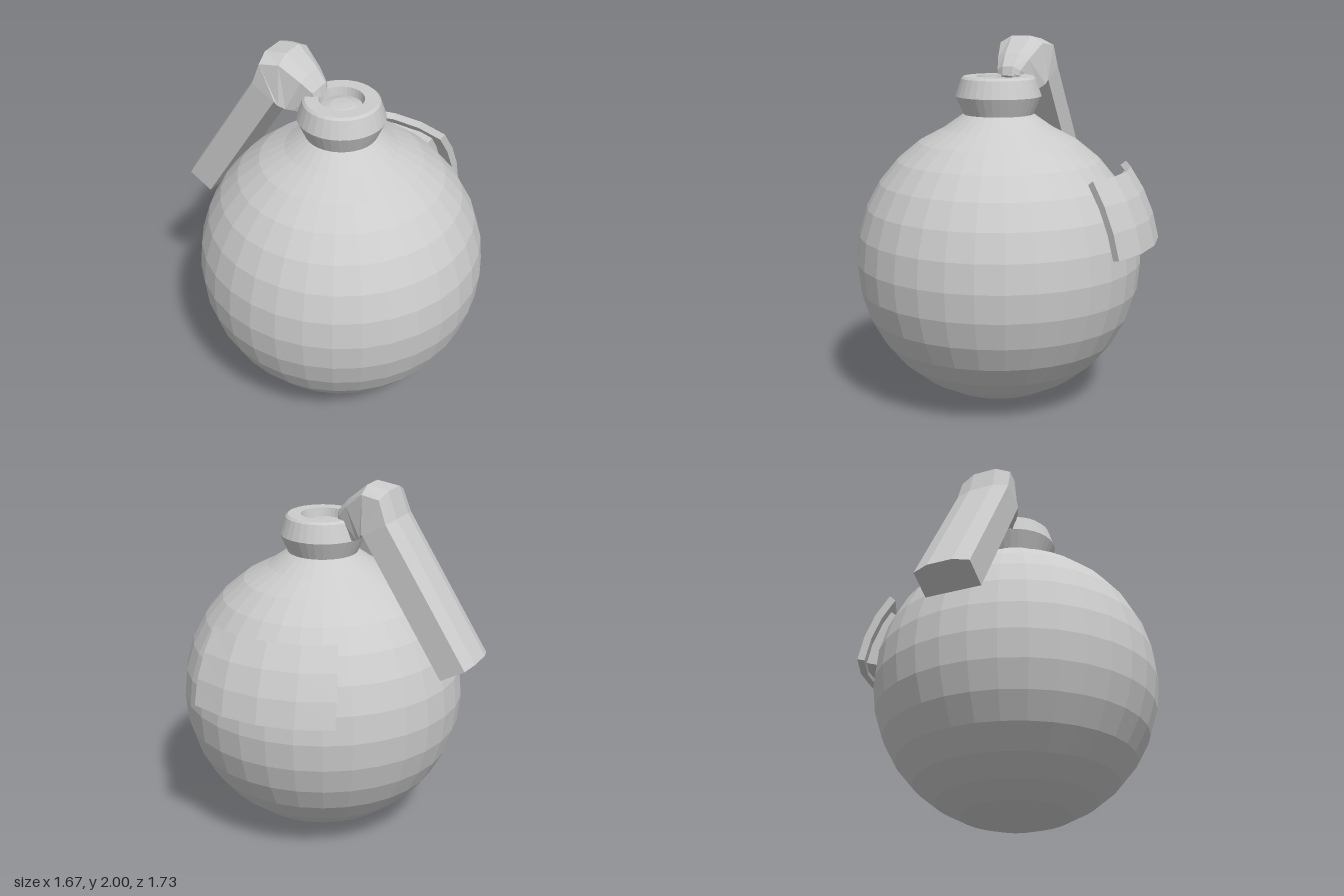
import * as THREE from 'three';

const material = new THREE.MeshStandardMaterial({ color: 0xcccccc, flatShading: true });
const R = 0.787, CX = -0.05, CY = 0.79, CZ = 0.075;

// Solid through closed sections; each runs along the outer side, then back along the inner side.
function loft(sections) {
  const pos = [];
  const quad = (a, b, c, d) => pos.push(...a, ...b, ...c, ...a, ...c, ...d);
  const n = sections[0].length;
  for (let j = 0; j < sections.length - 1; j++) {
    const s = sections[j], t = sections[j + 1];
    for (let i = 0; i < n; i++) {
      const k = (i + 1) % n;
      quad(s[i], s[k], t[k], t[i]);
    }
  }
  const first = sections[0], last = sections[sections.length - 1];
  for (let i = 0; i < n / 2 - 1; i++) {
    quad(first[i], first[n - 1 - i], first[n - 2 - i], first[i + 1]);
    quad(last[i], last[i + 1], last[n - 2 - i], last[n - 1 - i]);
  }
  const geometry = new THREE.BufferGeometry();
  geometry.setAttribute('position', new THREE.Float32BufferAttribute(pos, 3));
  geometry.computeVertexNormals();
  return geometry;
}

function addMesh(group, name, geometry) {
  const mesh = new THREE.Mesh(geometry, material);
  mesh.name = name;
  group.add(mesh);
  return mesh;
}

// Curved plate hugging the ball: heights y, angles (degrees) at its top and bottom edges.
function curvedPlate(outerR, innerR, yTop, yBottom, topAngles, bottomAngles, steps) {
  const rows = 3, sections = [];
  const latTop = Math.asin((yTop - CY) / outerR), latBottom = Math.asin((yBottom - CY) / outerR);
  for (let j = 0; j <= steps; j++) {
    const side = (radius) => Array.from({ length: rows + 1 }, (_, i) => {
      const t = i / rows;
      const lat = THREE.MathUtils.lerp(latTop, latBottom, t);
      const from = THREE.MathUtils.lerp(topAngles[0], bottomAngles[0], t);
      const to = THREE.MathUtils.lerp(topAngles[1], bottomAngles[1], t);
      const a = THREE.MathUtils.degToRad(THREE.MathUtils.lerp(from, to, j / steps));
      const r = radius * Math.cos(lat);
      return [r * Math.cos(a), radius * Math.sin(lat), -r * Math.sin(a)];
    });
    sections.push([...side(outerR), ...side(innerR).reverse()]);
  }
  return loft(sections);
}

export function createModel() {
  const model = new THREE.Group();
  model.name = 'grenade';

  // Ball body running up into the shoulder
  const profile = [];
  for (let k = 0; k <= 14; k++) {
    const a = (k * Math.PI) / 16;
    profile.push(new THREE.Vector2(R * Math.sin(a), -R * Math.cos(a)));
  }
  profile.push(new THREE.Vector2(0.19, 0.805));
  addMesh(model, 'body', new THREE.LatheGeometry(profile, 32)).position.set(CX, CY, CZ);

  // Flared collar with a shallow recess on top
  const collar = [
    [0.192, 1.593], [0.234, 1.69], [0.203, 1.785], [0.19, 1.797], [0.12, 1.797],
    [0.112, 1.75], [0.06, 1.766], [0, 1.77],
  ].map(([r, y]) => new THREE.Vector2(r, y));
  addMesh(model, 'collar', new THREE.LatheGeometry(collar, 32)).position.set(CX, 0, CZ);

  // Lever stations: outer z, outer y, inner z, inner y, outer half width, inner half width
  const stations = [
    [-0.03, 1.79, -0.14, 1.69, 0.06, 0.08],
    [-0.04, 1.84, -0.16, 1.698, 0.07, 0.095],
    [-0.1, 1.905, -0.19, 1.712, 0.095, 0.125],
    [-0.22, 2.0, -0.22, 1.735, 0.13, 0.15],
    [-0.345, 1.98, -0.235, 1.757, 0.15, 0.158],
    [-0.395, 1.84, -0.243, 1.75, 0.158, 0.158],
    [-0.862, 1.12, -0.705, 1.03, 0.158, 0.158],
  ];
  const across = [-1, -0.45, 0.45, 1];
  const leverSections = stations.map(([zo, yo, zi, yi, wo, wi]) => {
    // the crown drops slightly towards both side edges
    const outer = across.map((u) => {
      const drop = Math.abs(u) === 1 ? 0.15 : 0;
      return [u * wo, yo + (yi - yo) * drop, zo + (zi - zo) * drop - CZ];
    });
    const inner = across.map((u) => [u * wi, yi, zi - CZ]).reverse();
    return [...outer, ...inner];
  });
  const lever = addMesh(model, 'lever', loft(leverSections));
  lever.position.set(CX, 0, CZ);
  lever.rotation.y = 0.095;

  // Side badge: wide outer plate over a smaller backing plate
  const badge = new THREE.Group();
  badge.name = 'sidePlate';
  badge.position.set(CX, CY, CZ);
  addMesh(badge, 'outerPlate', curvedPlate(0.892, 0.852, 1.315, 0.925, [-17.6, 39.7], [-15.5, 37.7], 4));
  addMesh(badge, 'backingPlate', curvedPlate(0.853, 0.77, 1.255, 0.94, [-10.5, 34], [-9.5, 32.5], 4));
  model.add(badge);

  return model;
}
